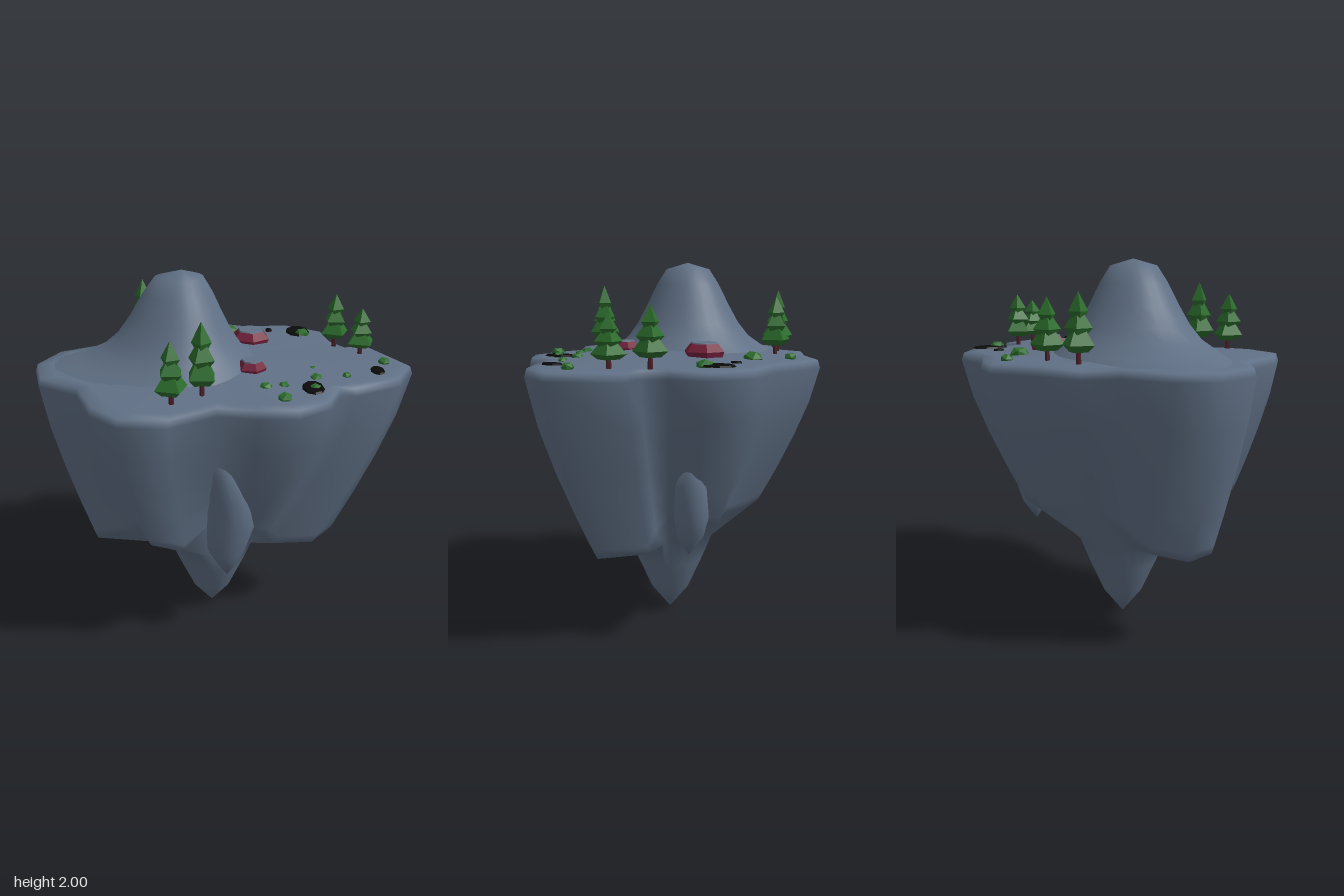
import * as THREE from 'three';
import { mergeVertices } from 'three/addons/utils/BufferGeometryUtils.js';

const paint = (name, color) => {
  const m = new THREE.MeshStandardMaterial({ color });
  m.name = name;
  return m;
};
const slate = paint('slate', 0x607085);
const leaf = paint('leaf green', 0x2b6c2c);
const bark = paint('bark', 0x4a2028);
const wine = paint('wine red', 0x74213b);
const soot = paint('soot black', 0x0a0a0a);
[leaf, bark, wine, soot].forEach((m) => { m.flatShading = true; });

// rim of the island, clockwise from above: x, z, inward fraction and height of the lower ledge
const RIM = [
  [-1, 0, 0.73, 0.53], [-0.91, -0.21, 0.64, 0.55], [-0.68, -0.34, 0.54, 0.62], [-0.62, -0.53, 0.54, 0.72],
  [-0.39, -0.64, 0.56, 0.74], [-0.2, -0.79, 0.63, 0.72], [-0.04, -0.77, 0.61, 0.7], [0.16, -0.69, 0.58, 0.68],
  [0.4, -0.71, 0.62, 0.67], [0.6, -0.57, 0.53, 0.68], [0.63, -0.37, 0.48, 0.66], [0.7, -0.26, 0.48, 0.57],
  [0.83, -0.27, 0.54, 0.51], [1, 0.07, 0.64, 0.51], [0.9, 0.26, 0.58, 0.48], [0.65, 0.4, 0.47, 0.5],
  [0.57, 0.4, 0.46, 0.55], [0.5, 0.57, 0.48, 0.62], [0.34, 0.68, 0.5, 0.65], [0.16, 0.68, 0.48, 0.68],
  [-0.04, 0.64, 0.48, 0.74], [-0.26, 0.78, 0.73, 0.7], [-0.49, 0.77, 0.74, 0.73], [-0.63, 0.63, 0.72, 0.8],
  [-0.73, 0.37, 0.56, 0.62], [-0.94, 0.23, 0.74, 0.53],
];

// skin over closed rings of points, given from the top downward
function loft(rings) {
  const n = rings[0].length;
  const index = [];
  for (let k = 0; k < rings.length - 1; k++) {
    for (let j = 0; j < n; j++) {
      const a = k * n + j, b = k * n + (j + 1) % n;
      index.push(b, b + n, a + n, b, a + n, a);
    }
  }
  const g = new THREE.BufferGeometry();
  g.setAttribute('position', new THREE.Float32BufferAttribute(rings.flat(2), 3));
  g.setIndex(index);
  const merged = mergeVertices(g, 1e-4);
  merged.computeVertexNormals();
  return merged;
}

function add(parent, name, geometry, material, x = 0, y = 0, z = 0) {
  const m = new THREE.Mesh(geometry, material);
  m.name = name;
  m.position.set(x, y, z);
  parent.add(m);
  return m;
}

function islandGeometry() {
  const cx = -0.05, cz = 0.04;
  const at = (f, y) => RIM.map(([x, z]) => [cx + (x - cx) * f, y, cz + (z - cz) * f]);
  const wall = (t) => RIM.map(([x, z, fb, yb]) => {
    const f = 1 - (1 - fb) * t ** 1.3;
    return [cx + (x - cx) * f, 1.46 + (yb - 1.46) * t, cz + (z - cz) * f];
  });
  const root = (r, y) => RIM.map(([x, z]) => {
    const a = Math.atan2(z - cz, x - cx);
    return [-0.07 + r * Math.cos(a), y, 0.04 + r * Math.sin(a)];
  });
  return loft([
    at(0, 1.545), at(0.3, 1.54), at(0.6, 1.522), at(0.9, 1.506), at(0.985, 1.5),
    wall(0), wall(0.25), wall(0.5), wall(0.75), wall(0.95), wall(1),
    root(0.25, 0.47), root(0.19, 0.32), root(0.11, 0.14), root(0, 0),
  ]);
}

// hill with a long shoulder running down toward -x
function hillGeometry() {
  const profile = [[0, 2], [0.11, 1.965], [0.16, 1.88], [0.21, 1.77], [0.26, 1.67], [0.31, 1.595], [0.37, 1.54], [0.42, 1.49]];
  return loft(profile.map(([r, y], k) => Array.from({ length: 28 }, (_, j) => {
    const a = Math.PI + (j / 28) * Math.PI * 2;
    const c = Math.cos(a);
    const stretch = c < 0 ? 1 - c * (0.27 + 0.5 * (k / 7) ** 4) : 1;
    return [-0.21 + r * c * stretch, y, 0.01 + r * 1.1 * Math.sin(a)];
  })));
}

// hanging rock rib: rows of y, centre x, centre z, radius x, radius z
function rib(parent, name, rows) {
  const rings = rows.map(([y, x, z, rx, rz]) => Array.from({ length: 14 }, (_, j) => {
    const a = (j / 14) * Math.PI * 2;
    return [x + rx * Math.cos(a), y, z + rz * Math.sin(a)];
  }));
  add(parent, name, loft(rings), slate);
}

// conifer with three square tiers, each tucked in underneath
function tree(parent, x, z, height, turn) {
  const t = new THREE.Group();
  t.name = 'tree';
  add(t, 'trunk', new THREE.CylinderGeometry(0.01, 0.014, 0.1, 6), bark, 0, 0.04, 0);
  [[0.085, 0.092, 0.12], [0.068, 0.165, 0.1], [0.048, 0.235, 0.085]].forEach(([r, y, h], i) => {
    const g = new THREE.LatheGeometry(
      [[0, -0.02], [r * 0.6, -0.03], [r, 0], [r * 0.5, h * 0.5], [0, h]].map(([a, b]) => new THREE.Vector2(a, b)), 4);
    add(t, 'foliage', g, leaf, 0, y, 0).rotation.y = i * 0.35;
  });
  t.position.set(x, 1.5, z);
  t.rotation.y = turn;
  t.scale.set(1, height / 0.32, 1);
  parent.add(t);
}

// red boulder, bulging at the sides, with a flat grey top
function boulder(parent, x, z, r, h, turn) {
  const b = new THREE.Group();
  b.name = 'boulder';
  const side = [[r * 0.85, -0.02], [r, h * 0.4], [r * 0.7, h]].map(([a, y]) => new THREE.Vector2(a, y));
  add(b, 'boulderSide', new THREE.LatheGeometry(side, 6), wine);
  add(b, 'boulderTop', new THREE.CylinderGeometry(r * 0.66, r * 0.7, 0.008, 6), slate, 0, h + 0.003, 0);
  b.position.set(x, 1.525, z);
  b.rotation.y = turn;
  parent.add(b);
}

export function createModel() {
  const model = new THREE.Group();
  model.name = 'floatingIsland';
  add(model, 'island', islandGeometry(), slate);
  add(model, 'hill', hillGeometry(), slate);

  // ribs that grow out of the hollows and hang free at the tip
  rib(model, 'frontRib', [
    [1.25, -0.03, 0.5, 0, 0], [1.1, -0.01, 0.45, 0.08, 0.1], [0.9, 0.02, 0.4, 0.12, 0.12],
    [0.72, 0.03, 0.38, 0.13, 0.11], [0.57, 0.01, 0.37, 0.1, 0.1], [0.47, 0.015, 0.355, 0.05, 0.06], [0.39, 0.015, 0.35, 0, 0],
  ]);
  rib(model, 'backRib', [
    [1.1, 0.42, -0.38, 0, 0], [0.9, 0.38, -0.35, 0.08, 0.08], [0.72, 0.34, -0.33, 0.09, 0.09],
    [0.62, 0.33, -0.32, 0.07, 0.07], [0.51, 0.33, -0.31, 0, 0],
  ]);

  [[-0.45, -0.44, 0.35, 0.6], [-0.26, -0.51, 0.32, 0.9], [0.63, -0.27, 0.3, 0.4],
    [0.75, -0.12, 0.26, 0.5], [-0.11, 0.51, 0.375, 0.8], [-0.25, 0.61, 0.315, 0.5],
  ].forEach((t) => tree(model, ...t));

  boulder(model, 0.16, -0.3, 0.11, 0.065, 0.1);
  boulder(model, 0.14, 0.2, 0.078, 0.055, 0.3);

  // small bushes
  [[-0.11, -0.66, 0.035], [0.05, -0.52, 0.055], [0.85, 0.04, 0.033], [0.46, 0.15, 0.025], [0.62, 0.25, 0.025],
    [0.46, 0.28, 0.033], [0.2, 0.41, 0.038], [0.29, 0.39, 0.03], [0.28, 0.55, 0.038], [0.26, -0.08, 0.018],
    [0.47, -0.47, 0.045], [0.44, 0.42, 0.03],
  ].forEach(([x, z, r], i) => {
    const bush = add(model, 'bush', new THREE.IcosahedronGeometry(r, 0), leaf, x, 1.515, z);
    bush.rotation.y = i;
    bush.scale.y = 0.75;
  });

  // dark patches on the ground
  [[0.45, -0.52, 0.07, 0.1], [0.28, -0.54, 0.02, 0.03], [0.43, 0.42, 0.055, 0.09], [0.79, 0.18, 0.036, 0.06],
  ].forEach(([x, z, rx, rz]) => {
    add(model, 'darkPatch', new THREE.CylinderGeometry(0.9, 1, 0.009, 9), soot, x, 1.518, z).scale.set(rx, 1, rz);
  });
  return model;
}
